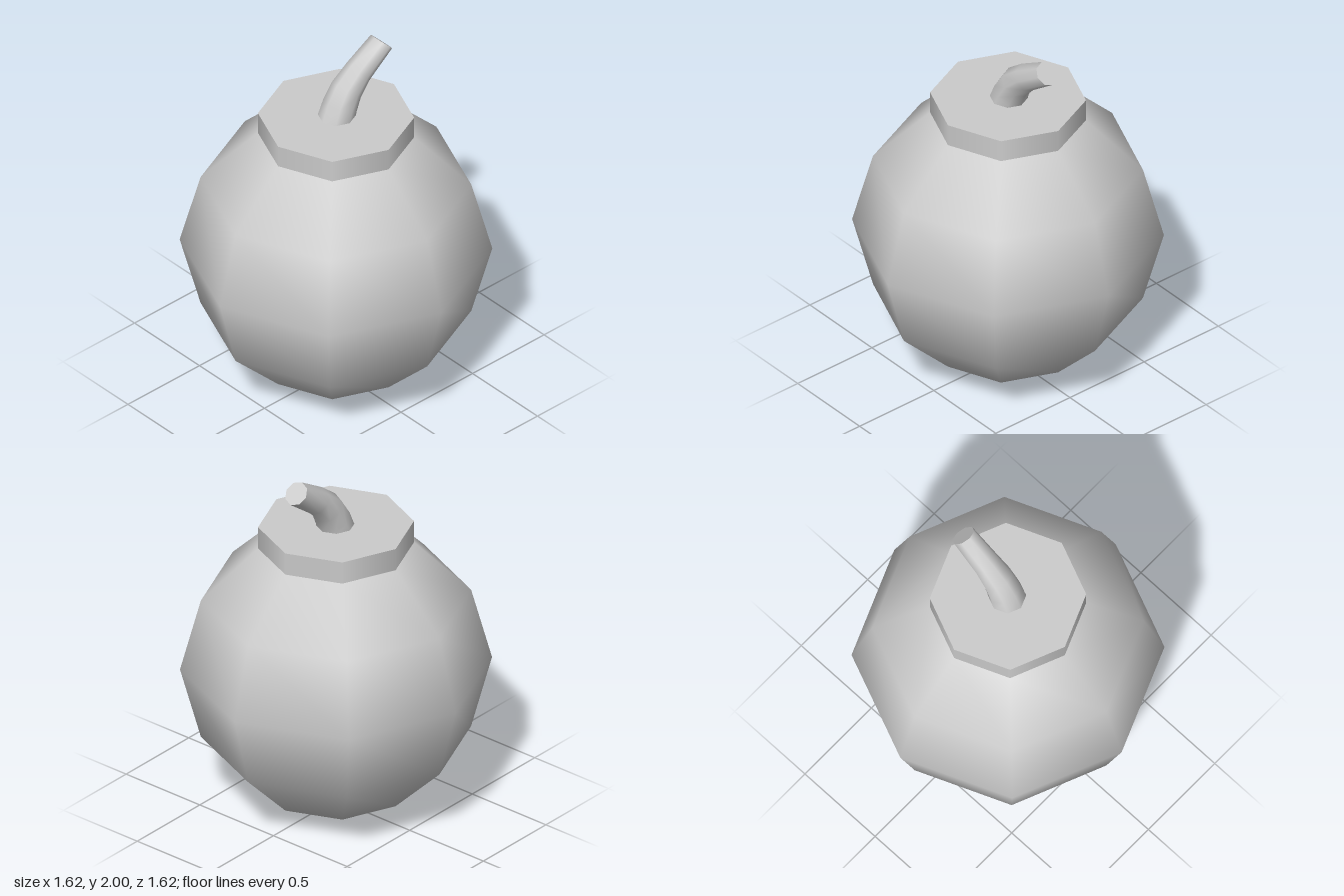
import * as THREE from 'three';
import { toCreasedNormals } from 'three/addons/utils/BufferGeometryUtils.js';

const SIDES = 8;
const RADIUS = 0.81;

// Stem rings from base to tip: centre x, centre y, radius, lean towards +x in degrees
const STEM_RINGS = [
  [0, 1.62, 0.1, 0],
  [0.026, 1.685, 0.093, 29],
  [0.072, 1.767, 0.086, 40],
  [0.156, 1.845, 0.075, 52],
  [0.318, 1.955, 0.066, 46],
];

// Bend and taper a unit cylinder so its rows follow the stem rings
function stemGeometry() {
  const rows = STEM_RINGS.length - 1;
  const geometry = new THREE.CylinderGeometry(1, 1, 1, SIDES, rows);
  const position = geometry.attributes.position;
  for (let i = 0; i < position.count; i++) {
    const row = Math.round((position.getY(i) + 0.5) * rows);
    const [cx, cy, r, lean] = STEM_RINGS[row];
    const a = THREE.MathUtils.degToRad(lean);
    const across = position.getX(i) * r;
    position.setXYZ(i, cx + across * Math.cos(a), cy - across * Math.sin(a), position.getZ(i) * r);
  }
  return toCreasedNormals(geometry, 1.1);
}

export function createModel() {
  const group = new THREE.Group();
  const material = new THREE.MeshStandardMaterial({ color: 0xcccccc });
  const add = (name, geometry, y = 0) => {
    const mesh = new THREE.Mesh(geometry, material);
    mesh.name = name;
    mesh.position.y = y;
    group.add(mesh);
  };

  // Round low-poly body
  add('body', new THREE.SphereGeometry(RADIUS, SIDES, 6), RADIUS);

  // Collar sitting on the uppermost ring of the body
  const bottom = RADIUS * (1 + Math.cos(Math.PI / 6));
  const top = 1.637;
  add('collar', new THREE.CylinderGeometry(RADIUS / 2, RADIUS / 2, top - bottom, SIDES), (top + bottom) / 2);

  // Curved, tapering stem
  add('stem', stemGeometry());

  return group;
}
